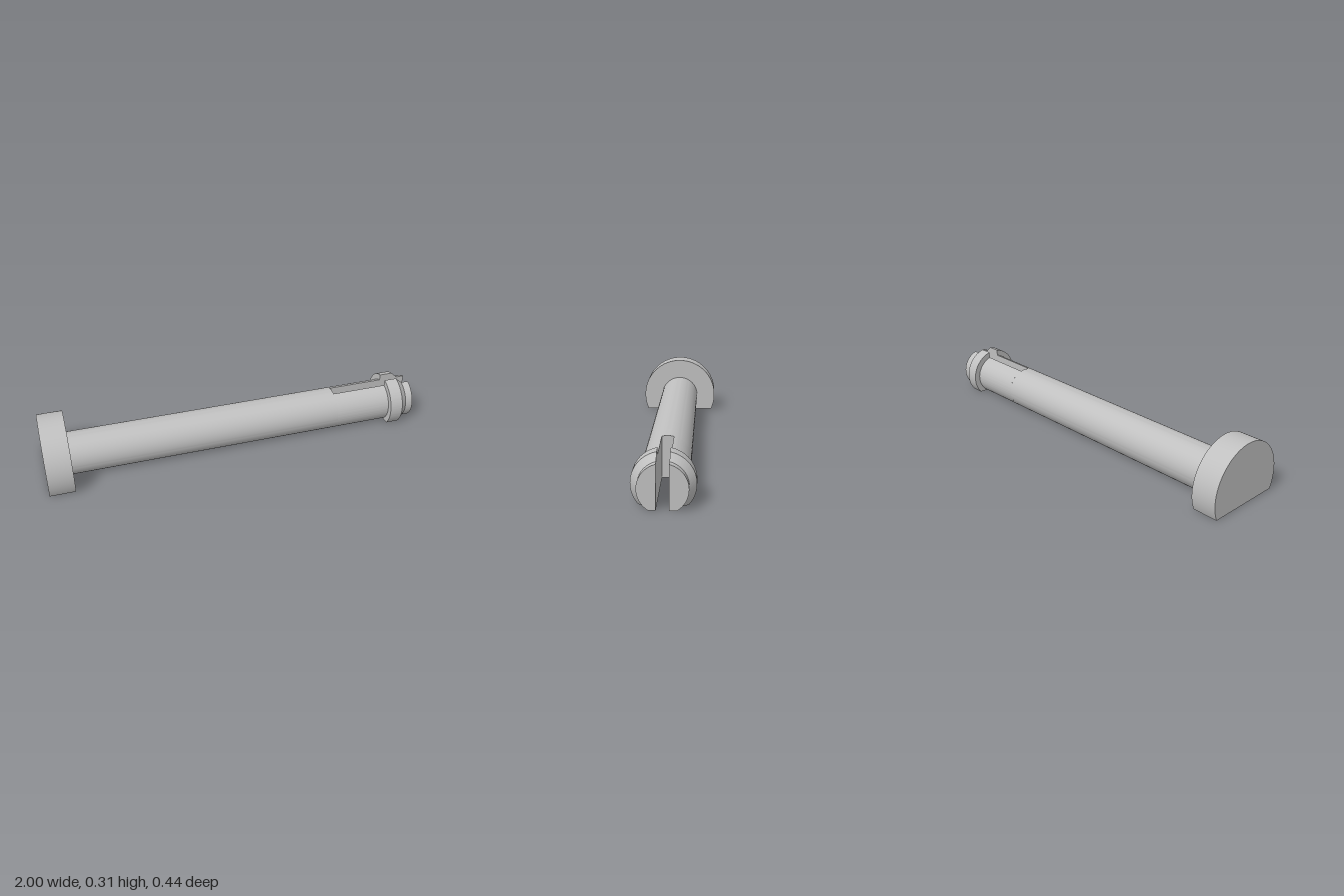
import * as THREE from 'three';
import { toCreasedNormals } from 'three/addons/utils/BufferGeometryUtils.js';

const AXIS = 0.092;   // height of the pin axis above the flat underside
const SLOT = 0.028;   // half width of the slot
const STEPS = 64;

// Arc of radius r about the axis, as [z, y] pairs
function arc(r, from, to) {
  const pts = [];
  for (let i = 0; i <= STEPS; i++) {
    const a = from + (to - from) * i / STEPS;
    pts.push([r * Math.cos(a), AXIS + r * Math.sin(a)]);
  }
  return pts;
}

// Round section cut flat at y = 0
function fullSection(r) {
  const cut = Math.asin(AXIS / r);
  return arc(r, -cut, Math.PI + cut);
}

// One side of the round section, beside the slot
function prongSection(r, side) {
  const cut = Math.asin(AXIS / r), top = Math.acos(SLOT / r);
  return side > 0
    ? [[SLOT, 0], ...arc(r, -cut, top)]
    : [...arc(r, Math.PI - top, Math.PI + cut), [-SLOT, 0]];
}

// Skin convex sections along x; stations are [x, radius]
function loft(stations, section, startCap, endCap) {
  const rings = stations.map(([x, r]) => section(r).map(([z, y]) => new THREE.Vector3(x, y, z)));
  const pos = [];
  const tri = (a, b, c) => {
    if (new THREE.Triangle(a, b, c).getArea() < 1e-9) return;
    for (const p of [a, b, c]) pos.push(p.x, p.y, p.z);
  };
  const n = rings[0].length, last = rings[rings.length - 1];
  for (let k = 0; k + 1 < rings.length; k++) {
    const p = rings[k], q = rings[k + 1];
    for (let i = 0; i < n; i++) {
      const j = (i + 1) % n;
      tri(p[i], q[i], q[j]);
      tri(p[i], q[j], p[j]);
    }
  }
  for (let i = 1; i + 1 < n; i++) {
    if (startCap) tri(rings[0][0], rings[0][i], rings[0][i + 1]);
    if (endCap) tri(last[0], last[i + 1], last[i]);
  }
  const geo = new THREE.BufferGeometry();
  geo.setAttribute('position', new THREE.Float32BufferAttribute(pos, 3));
  return toCreasedNormals(geo, 0.5);
}

export function createModel() {
  const group = new THREE.Group();
  const grey = new THREE.MeshStandardMaterial({ color: 0xc0c0c0 });
  grey.name = 'light grey';
  const add = (name, geo) => {
    const mesh = new THREE.Mesh(geo, grey);
    mesh.name = name;
    group.add(mesh);
  };

  // Head and solid part of the shaft
  add('head', loft([[-1, 0.22], [-0.87, 0.22]], fullSection, true, true));
  add('shaft', loft([[-0.87, 0.11], [0.56, 0.11]], fullSection, false, true));

  // Two snap prongs with a barbed collar and a short tip
  const profile = [[0.56, 0.11], [0.857, 0.11], [0.857, 0.141], [0.925, 0.141], [0.96, 0.11], [1, 0.11]];
  for (const side of [1, -1]) {
    add(side > 0 ? 'frontProng' : 'backProng',
      loft(profile, r => prongSection(r, side), false, true));
  }
  return group;
}
